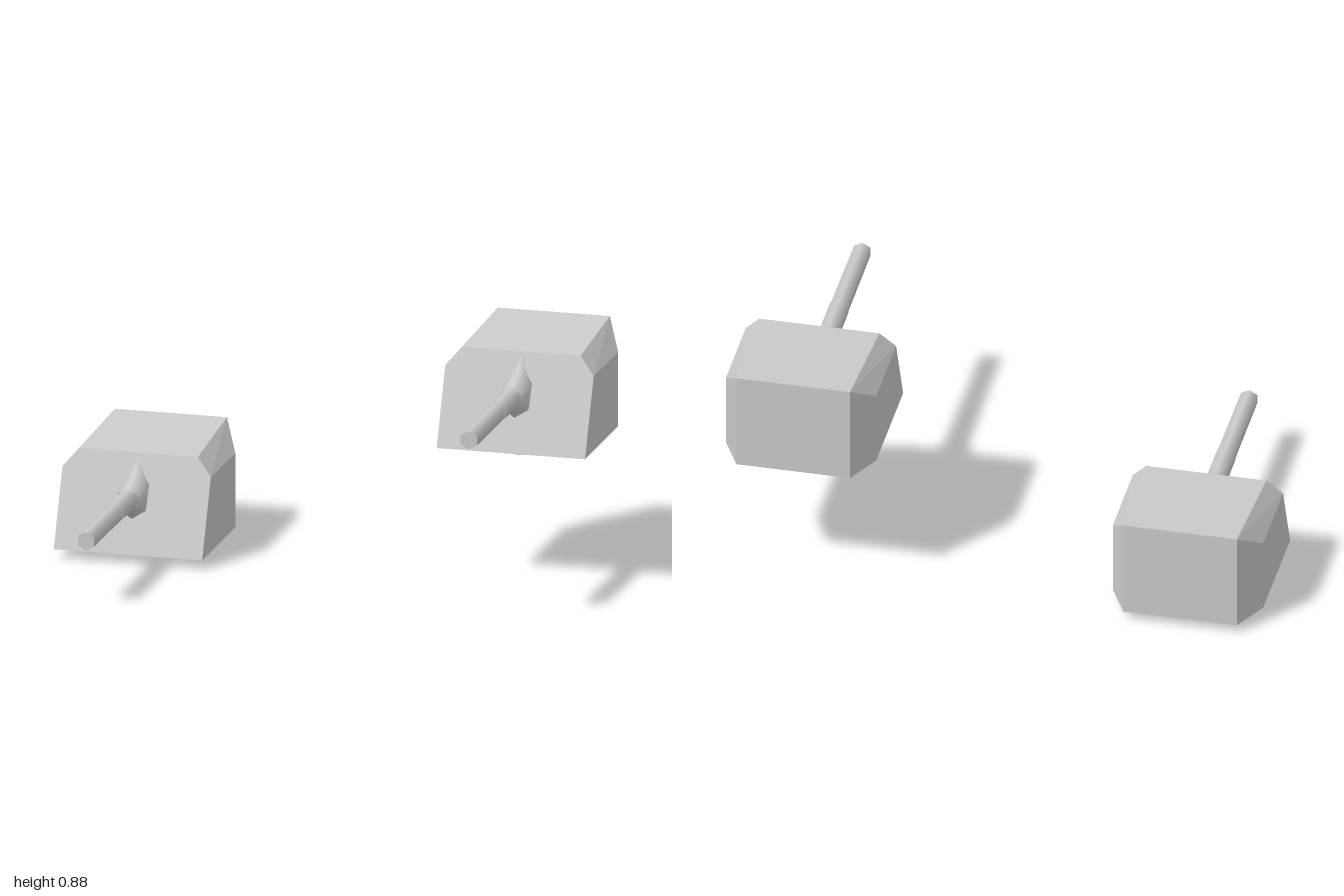
import * as THREE from 'three';
import { ConvexGeometry } from 'three/addons/geometries/ConvexGeometry.js';

const AXIS_Y = 0.243; // gun axis height
const PIVOT_Z = -0.29; // centre of the turret ring

const material = new THREE.MeshStandardMaterial({ color: 0xcccccc });
const openMaterial = new THREE.MeshStandardMaterial({ color: 0xcccccc, side: THREE.DoubleSide });

function addMesh(group, name, geometry, mat = material) {
  const mesh = new THREE.Mesh(geometry, mat);
  mesh.name = name;
  group.add(mesh);
  return mesh;
}

// Armoured housing: faceted hull of mirrored corner pairs [half width, y, z]
function housingGeometry() {
  const corners = [
    [0.278, 0.035, 0.01], [0.278, 0.035, -0.442], [0.21, 0.035, -0.575],
    [0.278, 0.315, -0.108], [0.278, 0.313, -0.442],
    [0.222, 0.38, -0.135], [0.21, 0.407, -0.575],
  ];
  const points = corners.flatMap(([x, y, z]) => [
    new THREE.Vector3(x, y, z), new THREE.Vector3(-x, y, z),
  ]);
  return new ConvexGeometry(points);
}

// Hexagonal tube along z with a point at the top
function barrelGeometry(rFront, rBack, zFront, zBack) {
  const g = new THREE.CylinderGeometry(rFront, rBack, zFront - zBack, 6);
  g.rotateX(Math.PI / 2);
  g.translate(0, AXIS_Y, (zFront + zBack) / 2);
  return g;
}

// Mantlet: hexagonal sections [z, half width, bottom y, top y] widening into the housing
function mantletGeometry() {
  const sections = [
    [0.012, 0.036, 0.202, 0.284],
    [-0.06, 0.05, 0.14, 0.305],
    [-0.1, 0.052, 0.115, 0.333],
    [-0.14, 0.045, 0.11, 0.377],
  ];
  const positions = [];
  const index = [];
  for (const [z, w, y0, y1] of sections) {
    for (let i = 0; i < 6; i++) {
      const a = (i * Math.PI) / 3;
      positions.push((w * Math.sin(a)) / Math.sin(Math.PI / 3), (y0 + y1) / 2 + ((y1 - y0) / 2) * Math.cos(a), z);
    }
  }
  for (let s = 0; s < sections.length - 1; s++) {
    for (let i = 0; i < 6; i++) {
      const a = s * 6 + i;
      const b = s * 6 + ((i + 1) % 6);
      index.push(a, b, a + 6, b, b + 6, a + 6);
    }
  }
  const g = new THREE.BufferGeometry();
  g.setAttribute('position', new THREE.Float32BufferAttribute(positions, 3));
  g.setIndex(index);
  g.computeVertexNormals();
  return g;
}

function createTurret(name) {
  const turret = new THREE.Group();
  turret.name = name;

  // Parts share one frame, shifted so that the turret turns about its ring
  const parts = new THREE.Group();
  parts.name = 'turretParts';
  parts.position.z = -PIVOT_Z;
  turret.add(parts);

  addMesh(parts, 'housing', housingGeometry());
  const ring = addMesh(parts, 'turretRing', new THREE.CylinderGeometry(0.193, 0.193, 0.035, 8, 1, true), openMaterial);
  ring.position.set(0, 0.0175, PIVOT_Z);
  addMesh(parts, 'mantlet', mantletGeometry(), openMaterial);
  addMesh(parts, 'barrelSleeve', barrelGeometry(0.038, 0.039, 0.205, -0.05));
  addMesh(parts, 'barrel', barrelGeometry(0.035, 0.036, 0.582, 0.2));

  turret.rotation.y = -0.04;
  return turret;
}

export function createModel() {
  const model = new THREE.Group();
  model.name = 'gunTurrets';
  const placements = [['lowerTurret', -0.71, 0], ['upperTurret', 0.71, 0.472]];
  for (const [name, x, y] of placements) {
    const turret = createTurret(name);
    turret.position.set(x, y, PIVOT_Z);
    model.add(turret);
  }
  return model;
}
